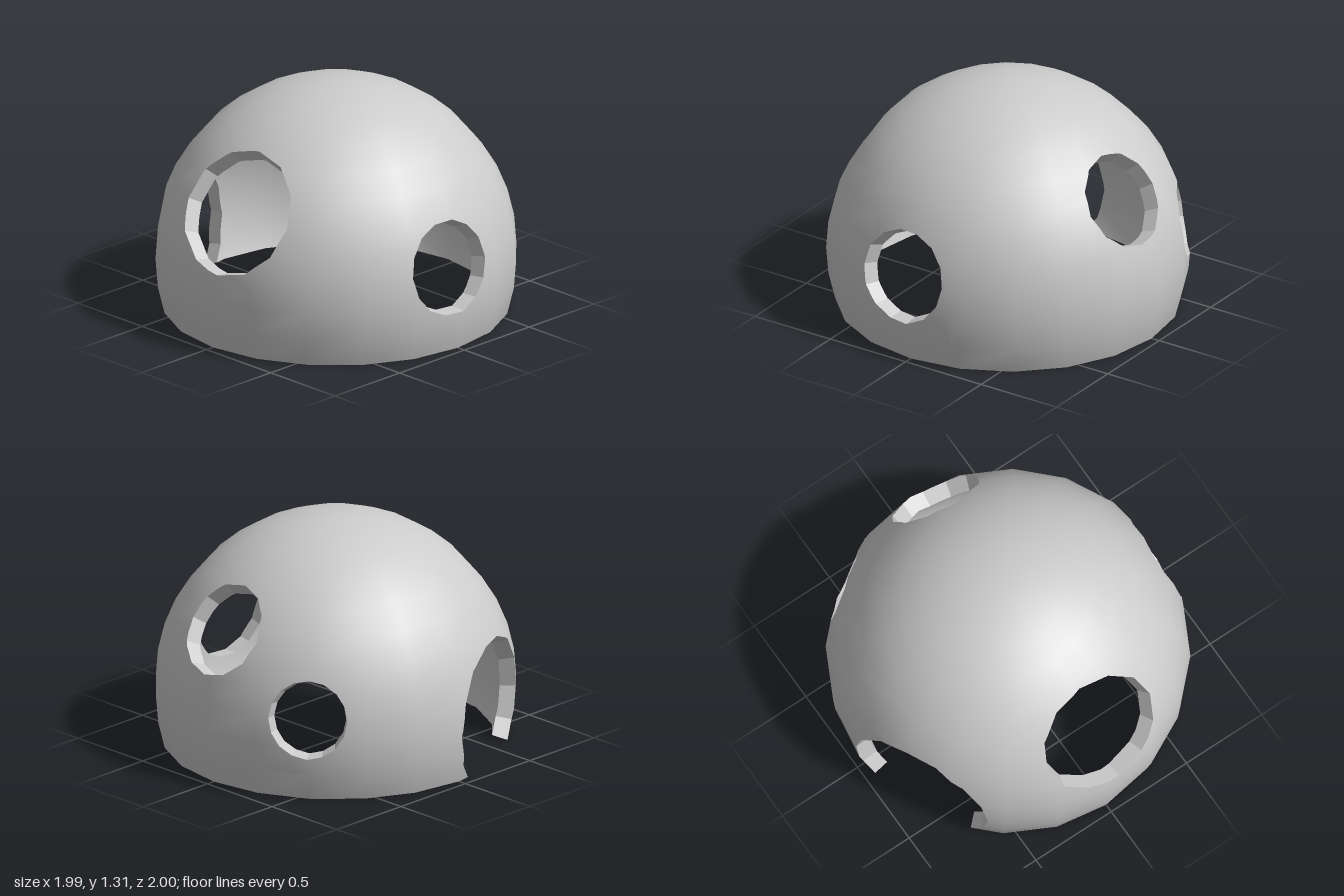
import * as THREE from 'three';

const RAD = Math.PI / 180;
const SEGMENTS = 20, RINGS = 12; // 18 degree sectors, 9 degree rings
const LOW = -18;                 // elevation of the bottom rim
const INNER = 0.91;              // inner radius of the shell
const CENTRE_Y = Math.sin(-LOW * RAD);
const EPS = 1e-6;

// Openings: azimuth from +z towards +x, elevation, angular radius (degrees)
const OPENINGS = [
  { az: 3.6, el: 29.2, r: 21.2, sides: 12 },   // front
  { az: 86.5, el: 10.4, r: 15.5, sides: 14 },  // left side
  { az: 175.2, el: 33, r: 15.7, sides: 12 },   // back
  { az: 215.5, el: 9, r: 12.8, sides: 16 },    // back right
  { az: -66, el: -2, r: 25.2, sides: 14 },     // doorway, open to the ground
];

function direction(az, el) {
  const c = Math.cos(el * RAD);
  return new THREE.Vector3(c * Math.sin(az * RAD), Math.sin(el * RAD), c * Math.cos(az * RAD));
}

// Planes through the dome centre that bound one opening
function openingPlanes({ az, el, r, sides }) {
  const axis = direction(az, el);
  const right = direction(az + 90, 0);
  const up = new THREE.Vector3().crossVectors(axis, right);
  const corner = (i) => {
    const a = (i / sides) * 2 * Math.PI;
    return axis.clone().multiplyScalar(Math.cos(r * RAD))
      .addScaledVector(right, Math.sin(r * RAD) * Math.cos(a))
      .addScaledVector(up, Math.sin(r * RAD) * Math.sin(a));
  };
  return Array.from({ length: sides }, (_, i) => corner(i).cross(corner(i + 1)).normalize());
}

// Part of a convex polygon on the chosen side of a plane
function clip(poly, normal, sign) {
  const out = [];
  poly.forEach((a, i) => {
    const b = poly[(i + 1) % poly.length];
    const da = sign * normal.dot(a), db = sign * normal.dot(b);
    if (da >= -EPS) out.push(a);
    if ((da > EPS && db < -EPS) || (da < -EPS && db > EPS)) out.push(a.clone().lerp(b, da / (da - db)));
  });
  const solid = out.length > 2 && out.some((p) => sign * normal.dot(p) > EPS);
  return solid ? out : [];
}

// Cut an opening from a polygon; the cut edges go to the list
function subtract(poly, planes, cutEdges) {
  const kept = [];
  let rest = poly;
  for (const n of planes) {
    const outside = clip(rest, n, -1);
    if (outside.length) kept.push(outside);
    rest = clip(rest, n, 1);
    if (!rest.length) return [poly];
  }
  rest.forEach((a, i) => {
    const b = rest[(i + 1) % rest.length];
    if (planes.some((n) => Math.abs(n.dot(a)) < 1e-5 && Math.abs(n.dot(b)) < 1e-5)) cutEdges.push([a, b]);
  });
  return kept;
}

function makeMesh(name, triangles, normalSign) {
  const geometry = new THREE.BufferGeometry().setFromPoints(triangles);
  if (normalSign) {
    // Smooth radial normals
    const normals = triangles.flatMap((p) => p.clone().normalize().multiplyScalar(normalSign).toArray());
    geometry.setAttribute('normal', new THREE.Float32BufferAttribute(normals, 3));
  } else {
    geometry.computeVertexNormals();
  }
  const mesh = new THREE.Mesh(geometry, new THREE.MeshStandardMaterial({ color: 0xcccccc }));
  mesh.name = name;
  return mesh;
}

export function createModel() {
  // Facets of the dome
  let facets = [];
  for (let j = 0; j < RINGS; j++) {
    for (let i = 0; i < SEGMENTS; i++) {
      const a0 = i * 18, a1 = a0 + 18, e0 = LOW + j * 9, e1 = e0 + 9;
      const facet = [direction(a0, e0), direction(a1, e0), direction(a1, e1)];
      if (j < RINGS - 1) facet.push(direction(a0, e1));
      facets.push(facet);
    }
  }

  // Cut the openings
  const cutEdges = [];
  for (const opening of OPENINGS) {
    const planes = openingPlanes(opening);
    facets = facets.flatMap((f) => subtract(f, planes, cutEdges));
  }

  // Outer and inner skins, and the edges along the ground
  const outer = [], inner = [], groundEdges = [];
  const atGround = (p) => Math.abs(p.y + CENTRE_Y) < 1e-5;
  const shrink = (p) => p.clone().multiplyScalar(INNER);
  for (const f of facets) {
    for (let i = 1; i < f.length - 1; i++) {
      outer.push(f[0], f[i], f[i + 1]);
      inner.push(shrink(f[0]), shrink(f[i + 1]), shrink(f[i]));
    }
    f.forEach((a, i) => {
      const b = f[(i + 1) % f.length];
      if (atGround(a) && atGround(b)) groundEdges.push([b, a]);
    });
  }

  // Walls through the thickness of the shell
  const walls = (edges) => edges.flatMap(([a, b]) => [a, b, shrink(b), a, shrink(b), shrink(a)]);

  const dome = new THREE.Group();
  dome.name = 'dome';
  dome.position.y = CENTRE_Y;
  dome.add(
    makeMesh('outerShell', outer, 1),
    makeMesh('innerShell', inner, -1),
    makeMesh('openingWalls', walls(cutEdges), 0),
    makeMesh('bottomRim', walls(groundEdges), 0),
  );
  const model = new THREE.Group();
  model.name = 'domeShelter';
  model.add(dome);
  return model;
}
